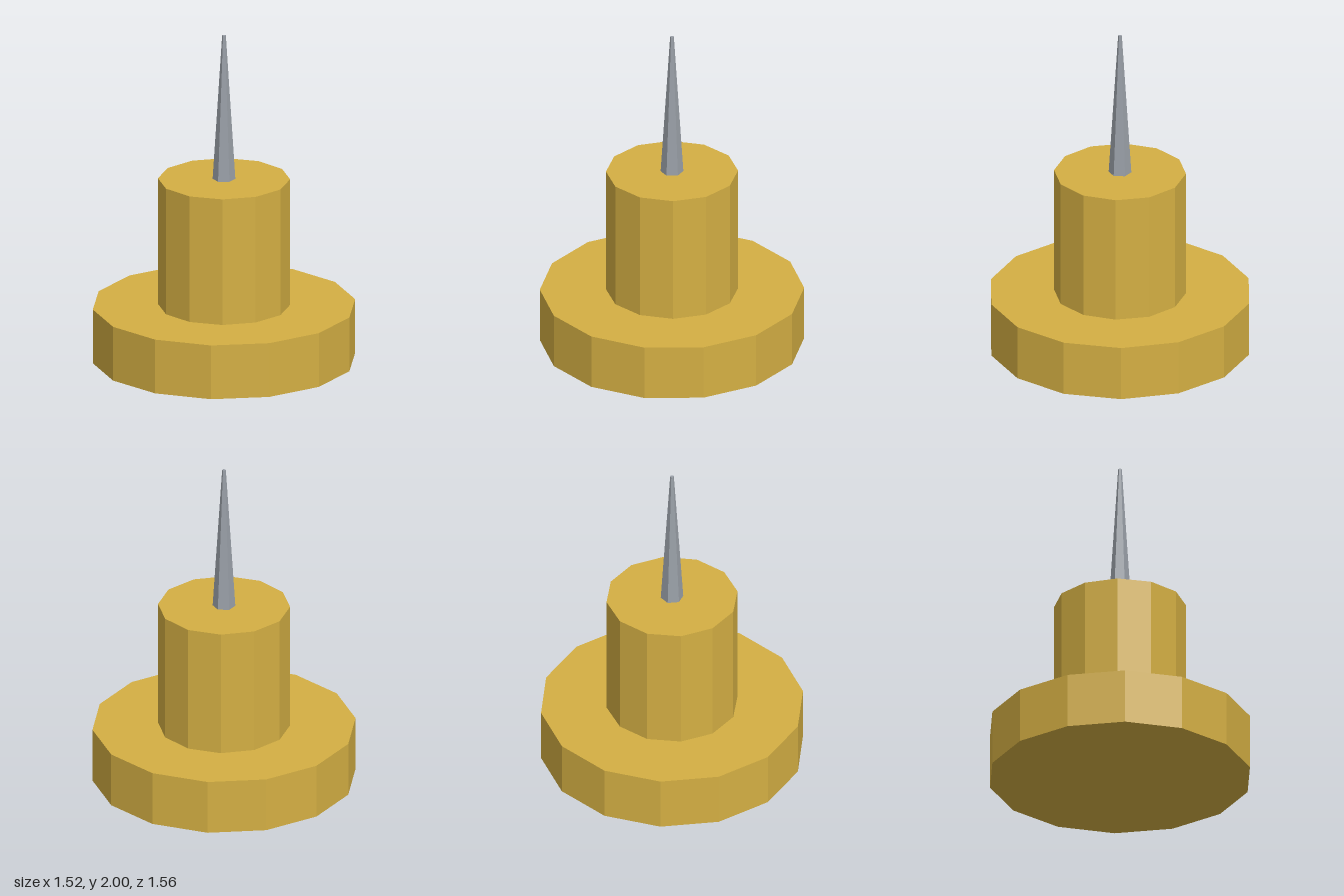
import * as THREE from 'three';

const gold = new THREE.MeshStandardMaterial({ color: 0xd4af43, flatShading: true });
gold.name = 'gold';
const steel = new THREE.MeshStandardMaterial({ color: 0x9aa0a8, flatShading: true });
steel.name = 'steel';

// Faceted, optionally tapered prism standing between two heights
function prism(name, material, sides, rBottom, rTop, y0, y1) {
  const geometry = new THREE.CylinderGeometry(rTop, rBottom, y1 - y0, sides);
  const mesh = new THREE.Mesh(geometry, material);
  mesh.name = name;
  mesh.position.y = (y0 + y1) / 2;
  return mesh;
}

export function createModel() {
  const model = new THREE.Group();
  model.name = 'spikedPedestal';
  model.add(
    prism('base', gold, 14, 0.778, 0.778, 0, 0.333),
    prism('column', gold, 12, 0.389, 0.389, 0.333, 1.111),
    prism('spike', steel, 6, 0.067, 0.011, 1.111, 2),
  );
  return model;
}
